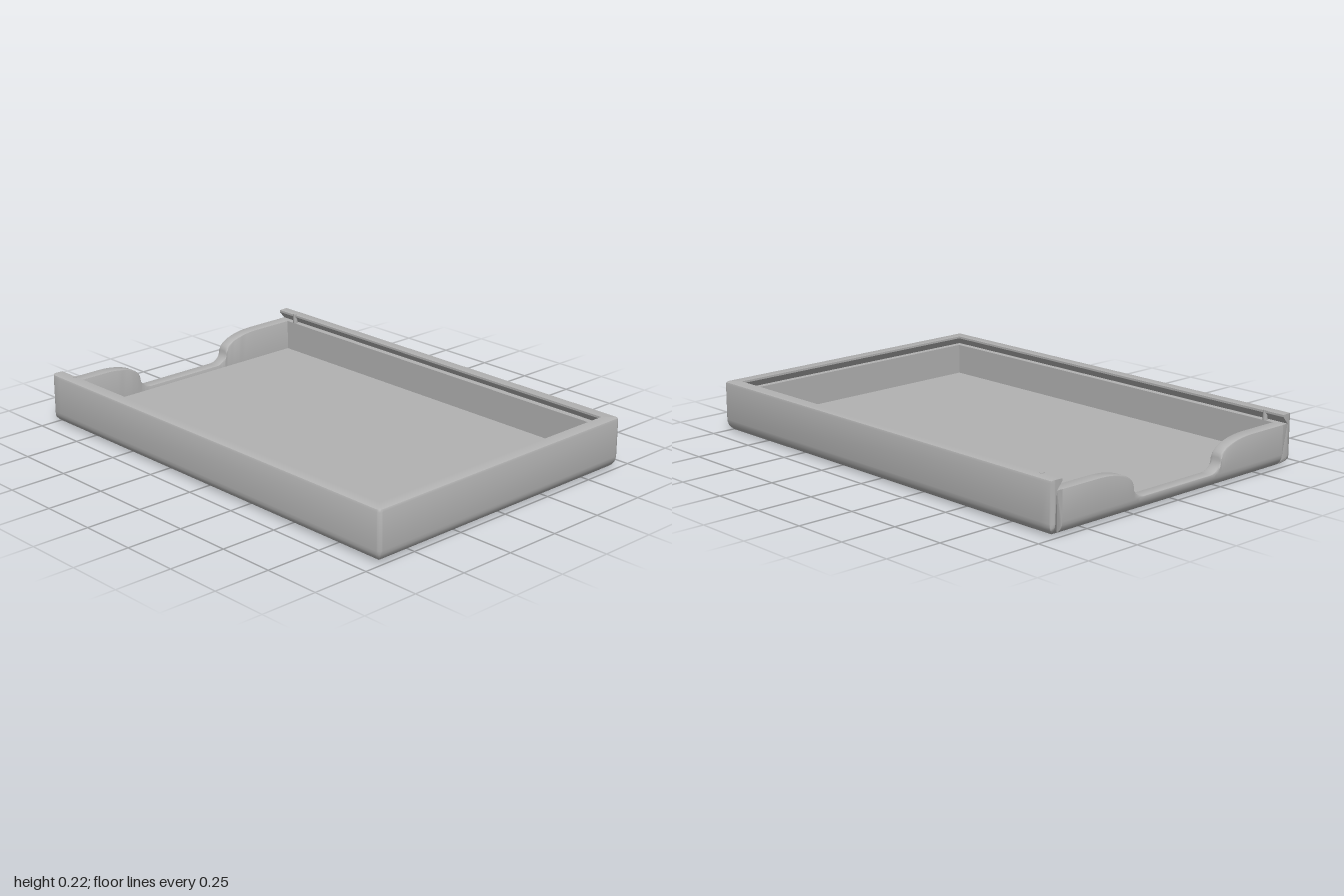
import * as THREE from 'three';
import { toCreasedNormals } from 'three/addons/utils/BufferGeometryUtils.js';

const A = 0.685;      // half width
const H = 0.222;      // height
const W = 0.055;      // wall thickness and bottom edge radius
const LEDGE = 0.18;   // floor of the lid groove
const FLOOR = 0.045;  // top of the floor
const R = 0.02;       // upright corner radius
const STEPS = 6;

// how far the rounded bottom edge is set in at height y
const inset = (y) => (y >= W ? 0 : W - Math.sqrt(Math.max(0, W * W - (W - y) ** 2)));

// heights down the rounded bottom edge
const arcY = Array.from({ length: STEPS + 1 }, (_, i) => W * (1 - Math.sin((i / STEPS) * Math.PI / 2)));

// closed solid through matching sections; the 2D outline fills both ends
function loft(sections, outline) {
  const n = outline.length;
  const tris = [];
  for (let i = 0; i < sections.length - 1; i++) {
    for (let j = 0; j < n; j++) {
      const k = (j + 1) % n;
      const a = sections[i][j], b = sections[i][k], c = sections[i + 1][k], d = sections[i + 1][j];
      tris.push([a, b, c], [a, c, d]);
    }
  }
  const ccw = THREE.ShapeUtils.area(outline) > 0;
  const last = sections[sections.length - 1];
  for (const [a, b, c] of THREE.ShapeUtils.triangulateShape(outline, [])) {
    const [p, q] = ccw ? [b, c] : [c, b];
    tris.push([sections[0][a], sections[0][q], sections[0][p]], [last[a], last[p], last[q]]);
  }
  // drop empty triangles and make the surface face outward
  const cross = new THREE.Vector3(), e1 = new THREE.Vector3(), e2 = new THREE.Vector3();
  let volume = 0;
  const solid = tris.filter(([a, b, c]) => {
    cross.crossVectors(e1.subVectors(b, a), e2.subVectors(c, a));
    volume += cross.dot(a);
    return cross.length() > 1e-9;
  });
  const points = solid.flatMap(([a, b, c]) => (volume > 0 ? [a, b, c] : [a, c, b]));
  return toCreasedNormals(new THREE.BufferGeometry().setFromPoints(points), 0.6);
}

// U-shaped wall: front and both sides, with an undercut groove for a sliding lid
function wallGeometry() {
  const V = (d, y) => new THREE.Vector2(d, y);
  const profile = [
    V(0.012, H), V(0.0035, H - 0.0035), V(0, H - 0.012),
    ...arcY.map((y) => V(inset(y), y)),
    ...arcY.slice(0, -1).reverse().map((y) => V(W, y)),
    V(W, LEDGE), V(0.027, LEDGE), V(W, H - 0.01), V(W, H - 0.001),
  ];
  const half = [];
  // rounded back end
  for (let i = STEPS; i >= 0; i--) {
    const t = (i / STEPS) * Math.PI / 2;
    half.push(profile.map(({ x: d, y }) => new THREE.Vector3(
      A - Math.max(d, R * (1 - Math.cos(t))), y,
      -1 + Math.max(inset(y), R * (1 - Math.sin(t))))));
  }
  // side run, clear of the rounded end
  half.push(profile.map(({ x: d, y }) => new THREE.Vector3(A - d, y, -1 + W)));
  // front corner
  for (let i = 0; i <= STEPS; i++) {
    const t = (i / STEPS) * Math.PI / 2;
    half.push(profile.map(({ x: d, y }) => {
      const r = Math.max(R - d, 0), e = Math.max(R, d);
      return new THREE.Vector3(A - e + r * Math.cos(t), y, 1 - e + r * Math.sin(t));
    }));
  }
  const other = half.map((s) => s.map((p) => new THREE.Vector3(-p.x, p.y, p.z))).reverse();
  return loft([...half, ...other], profile);
}

// low back wall with a scooped finger notch
function backWallGeometry() {
  const low = 0.06, mid = 0.115;
  const rim = [[A - W, LEDGE, 0.001], [0.43, LEDGE, 0.001]];
  for (let i = 1; i <= 10; i++) {
    const t = (i / 10) * Math.PI / 2;
    rim.push([0.43 - 0.18 * Math.sin(t), mid + (LEDGE - mid) * Math.cos(t), 0.001 + 0.013 * i / 10]);
  }
  for (let i = 1; i <= 8; i++) {
    const t = (i / 8) * Math.PI / 2;
    rim.push([0.19 + 0.06 * Math.cos(t), mid - (mid - low) * Math.sin(t), 0.014 - 0.01 * i / 8]);
  }
  const all = [...rim, ...rim.map(([x, h, r]) => [-x, h, r]).reverse()];
  const outlineAt = (h, r) => {
    const c = r * 0.3;
    return [
      ...arcY.slice().reverse().map((y) => [-1 + inset(y), y]),
      [-1, h - r], [-1 + c, h - c], [-1 + r, h],
      [-1 + W - r, h], [-1 + W - c, h - c], [-1 + W, h - r],
    ].map(([z, y]) => new THREE.Vector2(z, y));
  };
  const sections = all.map(([x, h, r]) => outlineAt(h, r).map((p) => new THREE.Vector3(x, p.y, p.x)));
  return loft(sections, outlineAt(LEDGE, 0.001));
}

export function createModel() {
  const model = new THREE.Group();
  model.name = 'slidingLidTray';
  const grey = new THREE.MeshStandardMaterial({ color: 0xb2b2b2 });
  grey.name = 'grey';
  const add = (name, geometry, x = 0, y = 0, z = 0) => {
    const mesh = new THREE.Mesh(geometry, grey);
    mesh.name = name;
    mesh.position.set(x, y, z);
    model.add(mesh);
  };

  add('groovedWall', wallGeometry());
  add('notchedBackWall', backWallGeometry());
  add('floor', new THREE.BoxGeometry(2 * (A - W), FLOOR, 2 * (1 - W)), 0, FLOOR / 2, 0);

  // small detent pins near the open end of the groove
  for (const side of [1, -1]) {
    add(side > 0 ? 'leftDetent' : 'rightDetent',
      new THREE.CylinderGeometry(0.01, 0.01, H - LEDGE + 0.001, 16), side * 0.638, (H + LEDGE + 0.001) / 2, -0.9);
  }
  return model;
}
